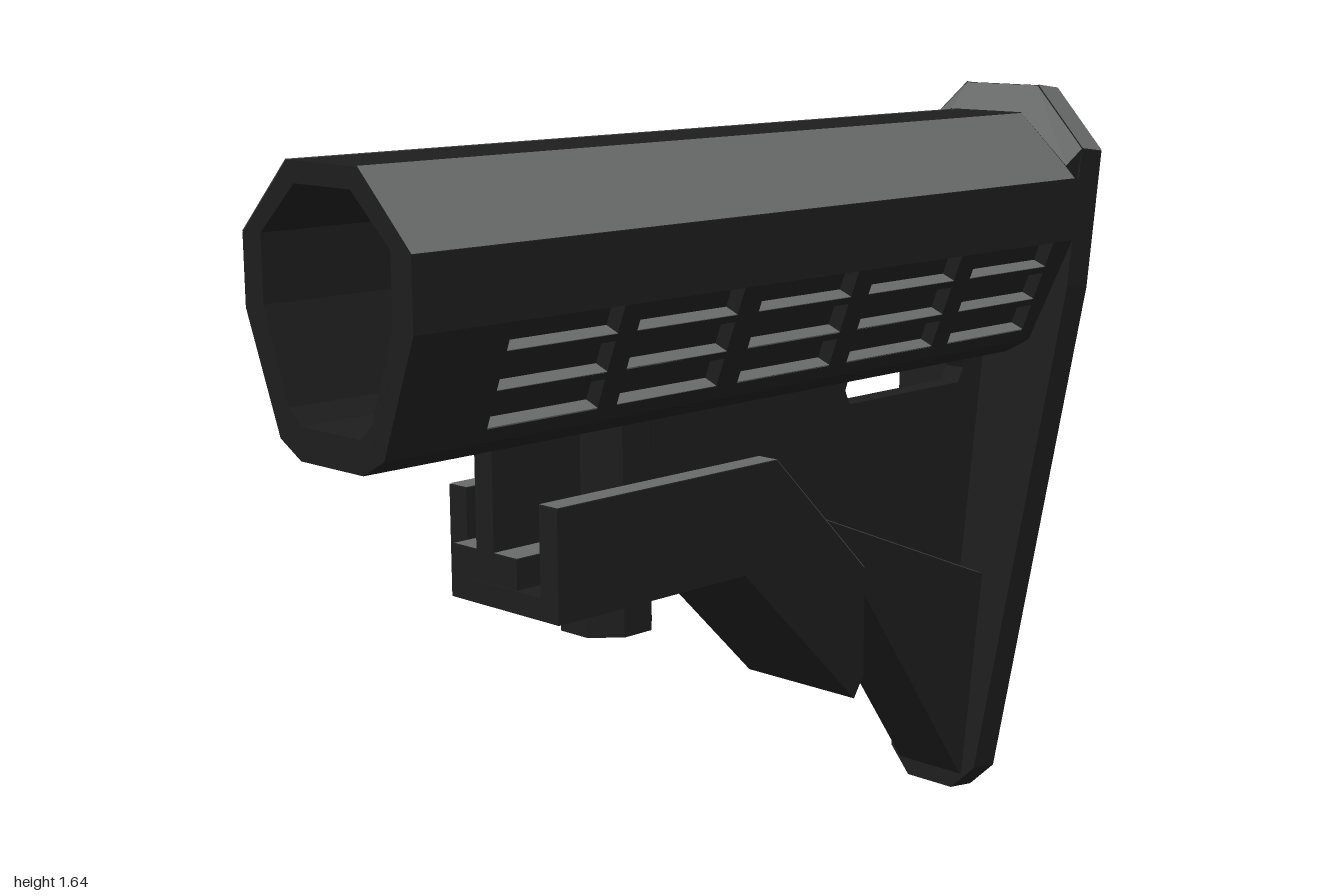
import * as THREE from 'three';

const dark = new THREE.MeshStandardMaterial({ color: 0x1d1d1d });
dark.name = 'black polymer';
const grey = new THREE.MeshStandardMaterial({ color: 0x686a6a, side: THREE.DoubleSide });
grey.name = 'worn grey';

function polygon(points, hole) {
  const shape = new THREE.Shape(points.map(p => new THREE.Vector2(...p)));
  if (hole) shape.holes.push(new THREE.Path(hole.map(p => new THREE.Vector2(...p))));
  return shape;
}

// Full clockwise outline from its +x half, listed top to bottom
const mirror = half => [...half, ...half.map(([x, y]) => [-x, y]).reverse()];
// Holes run the other way round
const mirrorHole = half => mirror(half).reverse();

function extrude(shape, depth) {
  return new THREE.ExtrudeGeometry(shape, { depth, bevelEnabled: false });
}

function add(parent, name, geometry, material = dark) {
  const mesh = new THREE.Mesh(geometry, material);
  mesh.name = name;
  parent.add(mesh);
  return mesh;
}

// Side profile in (z, y), given a width along x
function slab(parent, name, points, x, width, hole) {
  const g = extrude(polygon(points, hole), width);
  g.translate(0, 0, -width / 2).rotateY(-Math.PI / 2).translate(x, 0, 0);
  return add(parent, name, g);
}

// Flat faces, each with three or four corners
function faces(parent, name, list, material = grey) {
  const pos = [];
  for (const f of list) {
    for (let i = 1; i < f.length - 1; i++) pos.push(...f[0], ...f[i], ...f[i + 1]);
  }
  const g = new THREE.BufferGeometry();
  g.setAttribute('position', new THREE.Float32BufferAttribute(pos, 3));
  g.computeVertexNormals();
  return add(parent, name, g, material);
}

function box(parent, name, size, at, material = dark) {
  add(parent, name, new THREE.BoxGeometry(...size), material).position.set(...at);
}

// Slotted panel for the sloping lower side of the tube, +x side
function slottedPanel() {
  const panel = new THREE.Group();
  panel.name = 'slottedPanel';
  const depth = 0.033, length = 0.247;
  const up = y => (y - 1.07) / 0.23 * length;
  const posts = [[1, 0.775], [0.505, 0.455], [0.185, 0.125], [-0.15, -0.205], [-0.485, -0.54], [-0.81, -0.88]];
  const bars = [[1.07, 1.098], [1.156, 1.17], [1.231, 1.245]];
  posts.forEach(([a, b], i) => {
    box(panel, 'post', [depth, length, a - b], [-depth / 2, length / 2, (a + b) / 2]);
    if (i === posts.length - 1) return;
    const end = posts[i + 1][0], mid = (b + end) / 2;
    for (const [lo, hi] of bars) {
      const v0 = up(lo), v1 = up(hi);
      box(panel, 'bar', [depth, v1 - v0, b - end], [-depth / 2, (v0 + v1) / 2, mid]);
      box(panel, 'barTop', [depth, 0.003, b - end], [-depth / 2, v1, mid], grey);
    }
  });
  panel.position.set(0.15, 1.07, 0);
  panel.rotation.z = -Math.atan2(0.09, 0.23);
  return panel;
}

export function createModel() {
  const model = new THREE.Group();
  model.name = 'shoulderStock';

  // Hollow tube, recessed along the slotted sides
  const outer = mirror([[0.1, 1.575], [0.24, 1.437], [0.24, 1.3], [0.209, 1.312], [0.119, 1.082], [0.15, 1.07], [0.09, 1.036]]);
  const bore = mirrorHole([[0.08, 1.535], [0.185, 1.44], [0.185, 1.31], [0.12, 1.13], [0.085, 1.1]]);
  add(model, 'tube', extrude(polygon(outer, bore), 1.9)).position.z = -0.9;

  // Slotted panels on both sides
  const leftSide = new THREE.Group();
  leftSide.name = 'leftPanel';
  leftSide.add(slottedPanel());
  const rightSide = leftSide.clone();
  rightSide.name = 'rightPanel';
  rightSide.scale.x = -1;
  model.add(leftSide, rightSide);

  // Tilted butt plate with a keyhole opening
  const butt = new THREE.Group();
  butt.name = 'buttPlate';
  butt.position.z = -0.785;
  butt.rotation.x = -0.131;
  const plate = mirror([[0.1, 1.64], [0.24, 1.505], [0.24, 1.2], [0.125, 0.06], [0.065, 0]]);
  const keyhole = mirrorHole([[0.07, 1.492], [0.153, 1.412], [0.153, 1.295], [0.085, 1.225], [0.06, 1.225], [0.06, 1.11]]);
  add(butt, 'plate', extrude(polygon(plate, keyhole), 0.075));
  model.add(butt);

  for (const s of [1, -1]) {
    // Grey upper slopes of the tube and plate
    const e = 0.0015;
    faces(model, 'tubeSlope', [[
      [s * (0.1 + e), 1.575 + e, 1], [s * (0.24 + e), 1.437 + e, 1],
      [s * (0.24 + e), 1.437 + e, -0.88], [s * (0.1 + e), 1.575 + e, -0.88]]]);
    faces(butt, 'plateSlope', [[
      [s * (0.1 + e), 1.64 + e, 0], [s * (0.24 + e), 1.505 + e, 0],
      [s * (0.24 + e), 1.505 + e, 0.075], [s * (0.1 + e), 1.64 + e, 0.075]]]);

    // Grey lower slopes inside the keyhole
    faces(butt, 'keyholeSlope', [[
      [s * (0.153 - e), 1.295 + e, 0], [s * (0.085 - e), 1.225 + e, 0],
      [s * (0.085 - e), 1.225 + e, 0.075], [s * (0.153 - e), 1.295 + e, 0.075]]]);

    // Side part of the lip in front of the plate
    const A = [s * 0.1, 1.635, -0.924], B = [s * 0.24, 1.502, -0.906];
    const C = [s * 0.1, 1.578, -0.865], D = [s * 0.24, 1.468, -0.848];
    const E = [s * 0.24, 1.435, -0.89];
    faces(model, 'lipBevel', [[A, B, D, C]]);
    faces(model, 'lipSide', [s > 0 ? [B, D, E] : [B, E, D]], dark);
    faces(model, 'lipUnderside', [s > 0 ? [C, E, D] : [C, D, E]], dark);

    // Lever cheek with its grey top edge
    slab(model, 'leverCheek', [[0.605, 0.92], [0, 0.92], [-0.28, 0.64], [-0.28, 0.4], [-0.25, 0.355],
      [0.095, 0.695], [0.605, 0.695]], s * 0.13, 0.05);
    const i = s * 0.105, o = s * 0.155;
    faces(model, 'leverCheekTop', [
      [[i, 0.922, 0.605], [o, 0.922, 0.605], [o, 0.922, 0], [i, 0.922, 0]],
      [[i, 0.922, 0], [o, 0.922, 0], [o, 0.642, -0.281], [i, 0.642, -0.281]]]);

    // Grey shelves beside the thin web
    faces(model, 'finShelf', [[[s * 0.025, 0.782, -0.14], [s * 0.09, 0.782, -0.14],
      [s * 0.09, 0.522, -0.78], [s * 0.025, 0.522, -0.78]]]);
    faces(model, 'flangeTop', [[[s * 0.025, 0.822, 0.65], [s * 0.09, 0.822, 0.65],
      [s * 0.09, 0.822, 0], [s * 0.025, 0.822, 0]]]);
  }
  faces(model, 'lipTopBevel', [[[-0.1, 1.635, -0.924], [0.1, 1.635, -0.924], [0.1, 1.578, -0.865], [-0.1, 1.578, -0.865]]]);

  // Thin web under the tube, with the sling slot
  slab(model, 'web', [[0.65, 1.055], [0.65, 0.76], [0, 0.76], [-0.14, 0.77], [-0.78, 0.51], [-0.86, 1.055]], 0, 0.05,
    [[-0.375, 1.035], [-0.755, 1.035], [-0.772, 1.0], [-0.755, 0.968], [-0.375, 0.968], [-0.36, 1.0]]);

  // Thick lower fin and the flange at the foot of the web
  slab(model, 'lowerFin', [[-0.14, 0.78], [-0.785, 0.518], [-0.73, 0.04], [-0.71, 0.05], [-0.29, 0.65], [-0.25, 0.67]], 0, 0.18);
  box(model, 'flange', [0.18, 0.06, 0.65], [0, 0.79, 0.325]);

  // Lever floor joining both cheeks
  slab(model, 'leverFloor', [[0.605, 0.74], [0.08, 0.74], [-0.28, 0.4], [-0.25, 0.355], [0.095, 0.695], [0.605, 0.695]], 0, 0.22);

  // Eight-sided locking pin
  const pin = new THREE.CylinderGeometry(0.0974, 0.0974, 0.44, 8).toNonIndexed();
  pin.rotateY(Math.PI / 8).computeVertexNormals();
  add(model, 'lockingPin', pin).position.set(0, 0.83, 0.335);

  return model;
}
